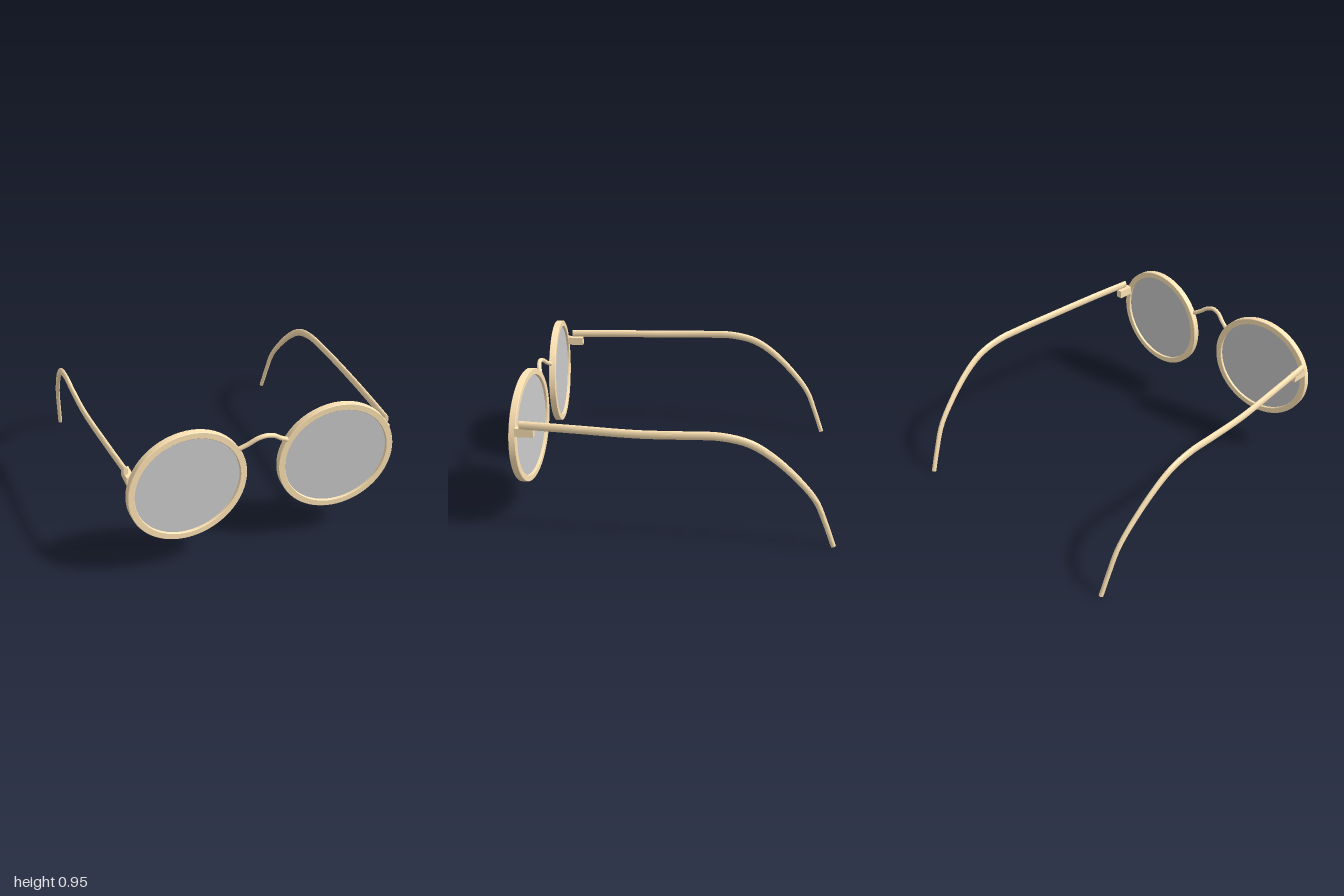
import * as THREE from 'three';
import { toCreasedNormals } from 'three/addons/utils/BufferGeometryUtils.js';

const V = (x, y, z) => new THREE.Vector3(x, y, z);

// Elliptical bar swept along a curve: half width rx, half height tapering from ry0 to ry1
function sweep(curve, rx, ry0, ry1, rings = 56, sides = 14) {
  const pos = [], idx = [];
  for (let i = 0; i <= rings; i++) {
    const t = i / rings, p = curve.getPointAt(t), tan = curve.getTangentAt(t);
    const side = V(1, 0, 0).addScaledVector(tan, -tan.x).normalize();
    const up = side.clone().cross(tan).negate();
    const ry = THREE.MathUtils.lerp(ry0, ry1, THREE.MathUtils.smoothstep(t, 0.5, 1));
    for (let j = 0; j < sides; j++) {
      const a = (j / sides) * Math.PI * 2;
      const q = p.clone().addScaledVector(side, rx * Math.cos(a)).addScaledVector(up, ry * Math.sin(a));
      pos.push(q.x, q.y, q.z);
    }
  }
  for (let i = 0; i < rings; i++) for (let j = 0; j < sides; j++) {
    const k = (j + 1) % sides, a = i * sides + j, b = i * sides + k;
    idx.push(a, a + sides, b, b, a + sides, b + sides);
  }
  // end caps
  const last = rings * sides;
  for (let j = 1; j < sides - 1; j++) {
    idx.push(0, j, j + 1, last, last + j + 1, last + j);
  }
  const g = new THREE.BufferGeometry();
  g.setAttribute('position', new THREE.Float32BufferAttribute(pos, 3));
  g.setIndex(idx);
  return toCreasedNormals(g, 0.9);
}

export function createModel() {
  const model = new THREE.Group();
  model.name = 'roundGlasses';
  const frameMat = new THREE.MeshStandardMaterial({ color: 0xffe4b5, side: THREE.DoubleSide });
  const lensMat = new THREE.MeshStandardMaterial({ color: 0xcccccc });
  const add = (parent, name, geo, mat) => {
    const m = new THREE.Mesh(geo, mat);
    m.name = name;
    parent.add(m);
    return m;
  };

  // Rim: lathed rectangular section with slightly eased edges, a little wider than tall
  const h = 0.022, e = 0.003, ri = 0.319, ro = 0.36;
  const profile = [
    [ri, -h + e], [ri + e, -h], [ro - e, -h], [ro, -h + e],
    [ro, h - e], [ro - e, h], [ri + e, h], [ri, h - e], [ri, -h + e],
  ].map(([r, y]) => new THREE.Vector2(r, y));
  const rimGeo = toCreasedNormals(
    new THREE.LatheGeometry(profile, 72).rotateX(Math.PI / 2).scale(1.037, 1, 1), 0.5);
  const lensGeo = new THREE.CylinderGeometry(ri + 0.004, ri + 0.004, 0.01, 72)
    .rotateX(Math.PI / 2).scale(1.037, 1, 1);

  for (const [s, label] of [[1, 'left'], [-1, 'right']]) {
    // Rim and lens, outer edge swung slightly forward
    const eye = new THREE.Group();
    eye.name = label + 'Eyepiece';
    eye.position.set(s * 0.475, 0.589, 0.953);
    eye.rotation.y = -s * 0.058;
    add(eye, label + 'Rim', rimGeo, frameMat);
    add(eye, label + 'Lens', lensGeo, lensMat);
    model.add(eye);

    // Hinge block behind the rim
    add(model, label + 'Hinge', new THREE.BoxGeometry(0.044, 0.056, 0.115), frameMat)
      .position.set(s * 0.815, 0.7, 0.9);

    // Temple arm bowing outward, then curling down behind the ear
    const path = new THREE.CatmullRomCurve3([
      [0.83, 0.75, 0.925], [0.859, 0.749, 0.6], [0.888, 0.745, 0.2], [0.894, 0.751, -0.1],
      [0.892, 0.75, -0.28], [0.888, 0.711, -0.45], [0.88, 0.615, -0.6],
      [0.864, 0.447, -0.77], [0.854, 0.322, -0.863], [0.845, 0.185, -0.92], [0.833, 0.009, -0.983],
    ].map(([x, y, z]) => V(s * x, y, z)));
    add(model, label + 'Temple', sweep(path, 0.0145, 0.027, 0.016), frameMat);
  }

  // Arched nose bridge
  const arch = new THREE.CatmullRomCurve3([
    V(-0.15, 0.764, 0.945), V(-0.105, 0.79, 0.958), V(-0.05, 0.829, 0.975), V(0, 0.841, 0.981),
    V(0.05, 0.829, 0.975), V(0.105, 0.79, 0.958), V(0.15, 0.764, 0.945),
  ]);
  add(model, 'bridge', new THREE.TubeGeometry(arch, 40, 0.0145, 12), frameMat);

  return model;
}
